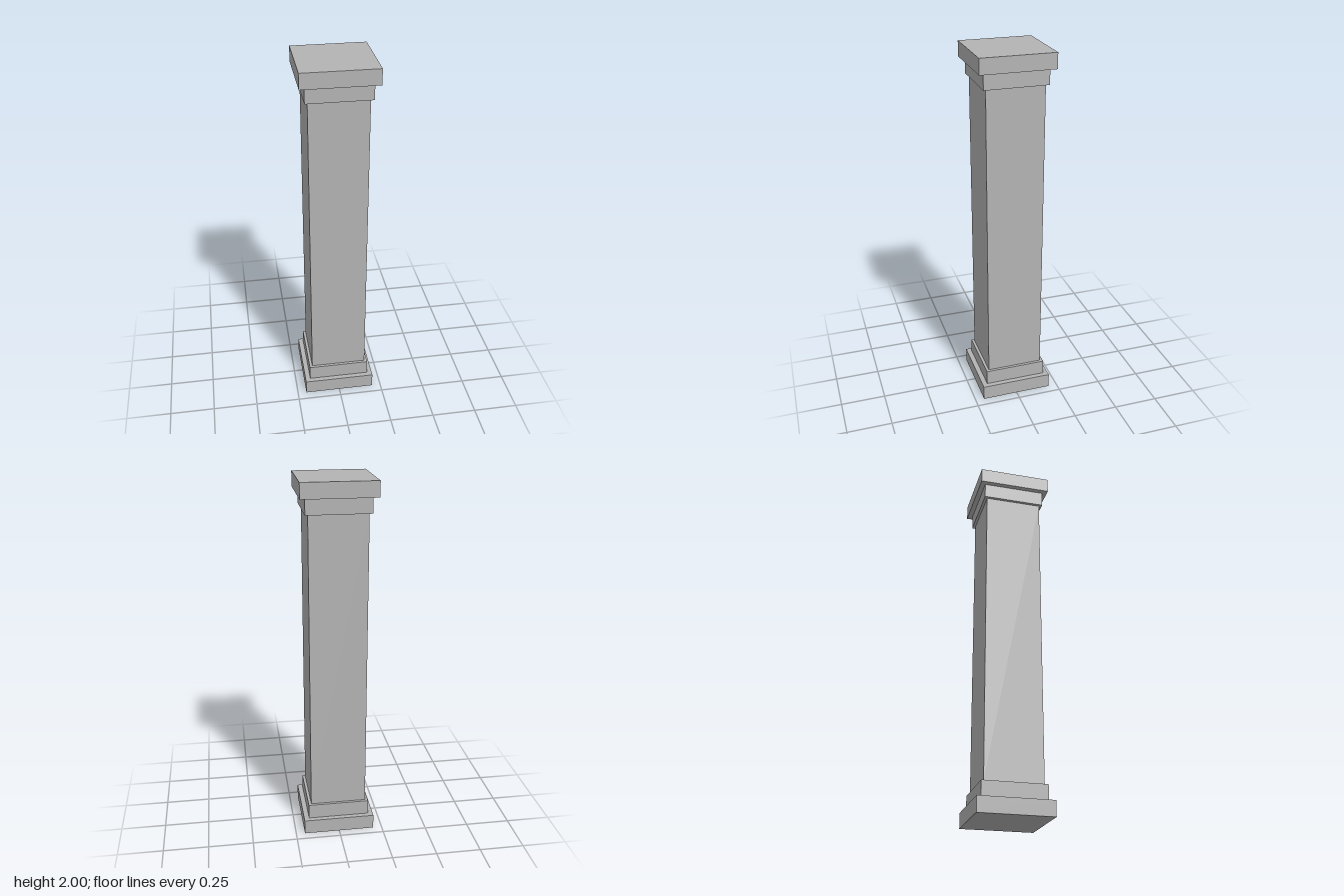
import * as THREE from 'three';

export function createModel() {
  const group = new THREE.Group();
  group.name = 'squareColumn';
  const stone = new THREE.MeshStandardMaterial({ color: 0xb4b4b4 });
  stone.name = 'grey stone';

  // Square block between two heights
  function block(name, width, bottom, top) {
    const mesh = new THREE.Mesh(new THREE.BoxGeometry(width, top - bottom, width), stone);
    mesh.name = name;
    mesh.position.y = (bottom + top) / 2;
    group.add(mesh);
  }

  const slab = 0.083, step = 0.167, height = 2;

  // Stepped base
  block('baseSlab', 0.4, 0, slab);
  block('baseStep', 0.344, slab, step);
  // Plain shaft
  block('shaft', 0.313, step, height - step);
  // Stepped capital, mirroring the base
  block('capitalStep', 0.344, height - step, height - slab);
  block('capitalSlab', 0.4, height - slab, height);

  return group;
}
